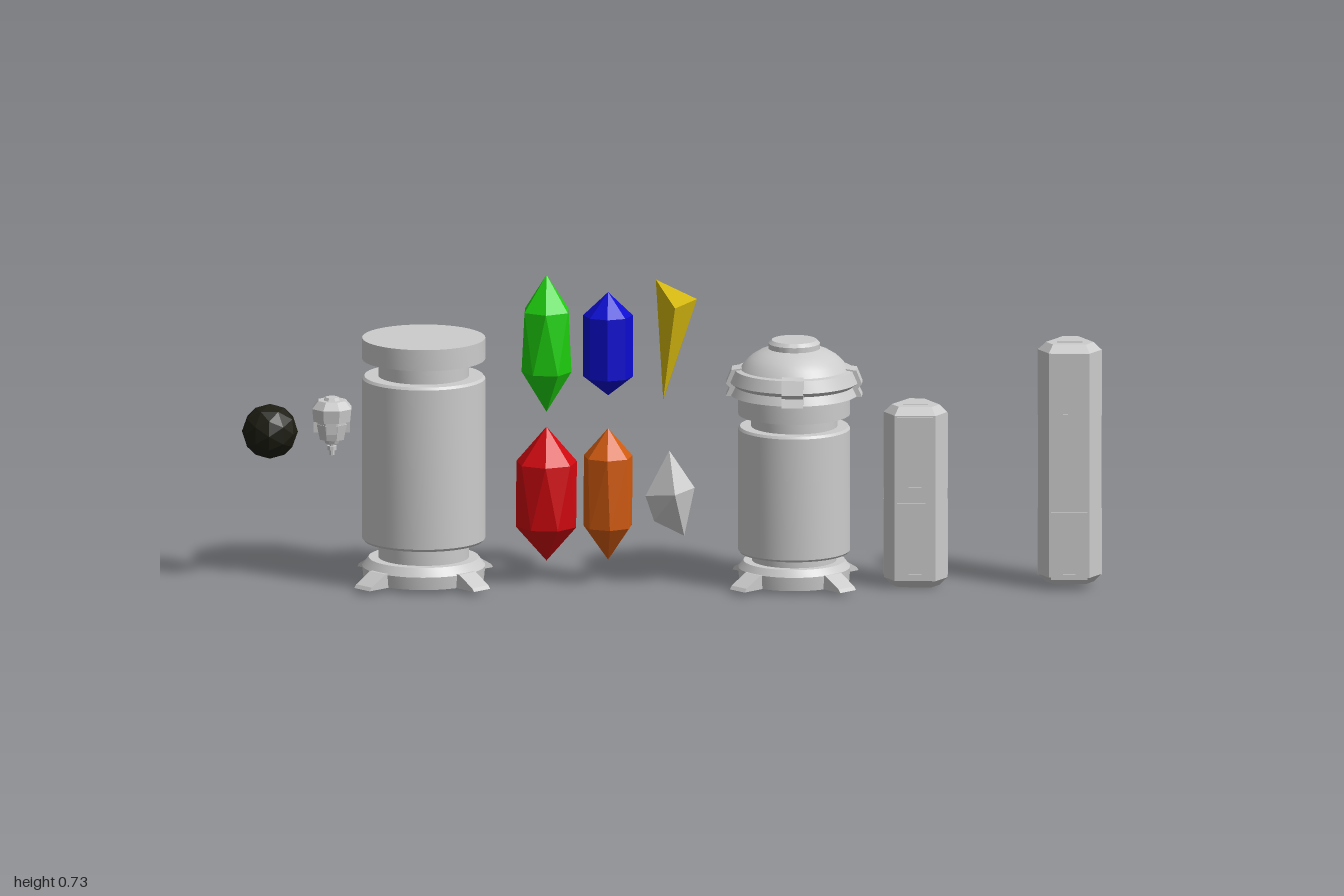
import * as THREE from 'three';
import { toCreasedNormals } from 'three/addons/utils/BufferGeometryUtils.js';
import { ConvexGeometry } from 'three/addons/geometries/ConvexGeometry.js';

const grey = new THREE.MeshStandardMaterial({ color: 0xcccccc });
const flatGrey = new THREE.MeshStandardMaterial({ color: 0xcccccc, flatShading: true });
const colored = (color) => new THREE.MeshStandardMaterial({ color, flatShading: true });

function add(parent, name, geometry, material = grey, x = 0, y = 0, z = 0) {
  const mesh = new THREE.Mesh(geometry, material);
  mesh.name = name;
  mesh.position.set(x, y, z);
  parent.add(mesh);
  return mesh;
}

function group(parent, name, x, y = 0, z = 0) {
  const g = new THREE.Group();
  g.name = name;
  g.position.set(x, y, z);
  parent.add(g);
  return g;
}

const polygon = (pts) => new THREE.Shape(pts.map(([x, y]) => new THREE.Vector2(x, y)));

// Turned body with crisp steps, profile as [radius, y] from bottom to top
function turned(profile) {
  const lathe = new THREE.LatheGeometry(profile.map(([r, y]) => new THREE.Vector2(r, y)), 48);
  return toCreasedNormals(lathe, 0.4);
}

// Radial blocks: a side profile [radius, y] given a width, repeated around the axis
function radialBlocks(parent, name, profile, width, count, start) {
  const geo = new THREE.ExtrudeGeometry(polygon(profile), { depth: width, bevelEnabled: false });
  geo.translate(0, 0, -width / 2);
  for (let i = 0; i < count; i++) {
    add(parent, name, geo).rotation.y = start + (i * Math.PI * 2) / count;
  }
}

const footProfile = (d) => [[0.09, 0.01], [d, 0.01], [d - 0.006, 0.018], [d - 0.05, 0.043], [0.09, 0.043]];

function largeCanister(parent) {
  const g = group(parent, 'largeCanister', -0.575);
  add(g, 'largeCanisterBody', turned([
    [0, 0.01], [0.14, 0.01], [0.143, 0.04], [0.128, 0.06], [0.105, 0.06], [0.105, 0.1], [0.138, 0.1],
    [0.143, 0.106], [0.143, 0.484], [0.138, 0.49], [0.105, 0.49], [0.105, 0.53], [0.143, 0.53],
    [0.143, 0.58], [0, 0.58],
  ]));
  radialBlocks(g, 'largeCanisterFoot', footProfile(0.197), 0.052, 4, Math.PI / 4);
}

function domedCanister(parent) {
  const g = group(parent, 'domedCanister', 0.285);
  add(g, 'domedCanisterBody', turned([
    [0, 0.01], [0.128, 0.01], [0.13, 0.042], [0.118, 0.058], [0.098, 0.058], [0.098, 0.078], [0.126, 0.078],
    [0.13, 0.083], [0.13, 0.37], [0.126, 0.376], [0.1, 0.376], [0.1, 0.405], [0.13, 0.405], [0.13, 0.45],
    [0.148, 0.452], [0.138, 0.472], [0.15, 0.482], [0.138, 0.51], [0.125, 0.512], [0.115, 0.527],
    [0.1, 0.541], [0.08, 0.553], [0.06, 0.56], [0.06, 0.572], [0.052, 0.58], [0, 0.58],
  ]));
  radialBlocks(g, 'domedCanisterFoot', footProfile(0.182), 0.05, 4, Math.PI / 4);
  // clamps over the dome ring
  radialBlocks(g, 'domeClamp', [
    [0.12, 0.45], [0.158, 0.45], [0.149, 0.47], [0.158, 0.48], [0.145, 0.512], [0.12, 0.516],
  ], 0.05, 4, 0);
}

// Bevelled triangular power cell with framed panels on its three faces
function cell(parent, name, x, y0, y1, panels) {
  const g = group(parent, name, x, 0, -0.003);
  const a = 0.058, c = 0.07, bevel = 0.018;
  const u = (c - a / 2) / 0.866;
  const corners = [];
  for (let i = 0; i < 3; i++) {
    for (const s of [-1, 1]) {
      const t = -i * Math.PI * 2 / 3;
      const px = s * u, py = -a;
      corners.push([px * Math.cos(t) - py * Math.sin(t), px * Math.sin(t) + py * Math.cos(t)]);
    }
  }
  const loop = corners.sort((p, q) => Math.atan2(p[1], p[0]) - Math.atan2(q[1], q[0]));
  const body = new THREE.ExtrudeGeometry(polygon(loop), {
    depth: y1 - y0 - 2 * bevel, bevelThickness: bevel, bevelSize: 0.016, bevelOffset: -0.016, bevelSegments: 1,
  });
  body.rotateX(-Math.PI / 2);
  add(g, name + 'Body', body, flatGrey, 0, y0 + bevel, 0);
  // small triangles on both ends
  const tri = new THREE.CylinderGeometry(0.034, 0.034, y1 - y0 + 0.004, 3);
  add(g, name + 'EndTriangle', tri, flatGrey, 0, (y0 + y1) / 2, 0).rotation.y = Math.PI;
  const rect = (w, h) => [[-w, -h], [w, -h], [w, h], [-w, h]];
  for (const [b, t] of panels) {
    const h = (t - b) / 2;
    const frame = polygon(rect(0.042, h));
    frame.holes.push(polygon(rect(0.015, h - 0.012).reverse()));
    const geo = new THREE.ExtrudeGeometry(frame, { depth: 0.005, bevelEnabled: false });
    geo.translate(0, (b + t) / 2, a - 0.001);
    for (let i = 0; i < 3; i++) add(g, name + 'Panel', geo, flatGrey).rotation.y = i * Math.PI * 2 / 3;
  }
}

// Double-pointed crystal: two rings of corners between a top and a bottom tip
function crystal(parent, name, color, x, [bottom, low, high, top], radius, sides, twist) {
  const pts = [new THREE.Vector3(0, bottom, 0), new THREE.Vector3(0, top, 0)];
  for (let i = 0; i < sides; i++) {
    const t = (i * Math.PI * 2) / sides;
    pts.push(new THREE.Vector3(radius * Math.sin(t), high, radius * Math.cos(t)));
    pts.push(new THREE.Vector3(radius * Math.sin(t + twist), low, radius * Math.cos(t + twist)));
  }
  add(parent, name, new ConvexGeometry(pts), colored(color), x);
}

// Irregular shard from a handful of corners
function shard(parent, name, material, pts) {
  add(parent, name, new ConvexGeometry(pts.map((p) => new THREE.Vector3(...p))), material);
}

function darkOrb(parent) {
  const g = group(parent, 'darkOrb', -0.932, 0.355);
  add(g, 'orbShell', new THREE.IcosahedronGeometry(0.065, 1), colored(0x1c1c12));
  const plate = new THREE.CylinderGeometry(0.024, 0.032, 0.012, 6).rotateX(-Math.PI / 2);
  add(g, 'orbPlate', plate, flatGrey, 0, 0, -0.058);
}

function lantern(parent) {
  const g = group(parent, 'lantern', -0.788);
  // chamfered square tiers as [bottom radius, top radius, bottom y, top y]
  const tiers = [
    [0.03, 0.038, 0.338, 0.375], [0.036, 0.036, 0.375, 0.382], [0.046, 0.049, 0.382, 0.412],
    [0.049, 0.034, 0.412, 0.43], [0.02, 0.016, 0.43, 0.437],
    [0.016, 0.02, 0.328, 0.338], [0.006, 0.006, 0.3, 0.33], [0.011, 0.011, 0.312, 0.322],
  ];
  for (const [rb, rt, b, t] of tiers) {
    const geo = new THREE.CylinderGeometry(rt, rb, t - b, 8).rotateY(Math.PI / 8);
    add(g, 'lanternTier', geo, flatGrey, 0, (b + t) / 2, 0);
  }
  // ribs on the four sides
  for (let i = 0; i < 4; i++) {
    const rib = group(g, 'lanternRib', 0);
    rib.rotation.y = (i * Math.PI) / 2;
    add(rib, 'lanternRibBar', new THREE.BoxGeometry(0.022, 0.055, 0.012), flatGrey, 0, 0.383, 0.036);
  }
}

export function createModel() {
  const model = new THREE.Group();
  model.name = 'propSet';
  darkOrb(model);
  lantern(model);
  largeCanister(model);
  crystal(model, 'greenCrystal', 0x1fd10f, -0.29, [0.405, 0.5, 0.645, 0.73], 0.058, 6, 0.5);
  crystal(model, 'blueCrystal', 0x0a0ad0, -0.147, [0.445, 0.49, 0.635, 0.69], 0.058, 8, 0);
  crystal(model, 'redCrystal', 0xd0080f, -0.29, [0.052, 0.135, 0.285, 0.37], 0.072, 7, 0.4);
  crystal(model, 'orangeCrystal', 0xd05a0f, -0.147, [0.055, 0.135, 0.3, 0.367], 0.058, 7, 0.1);
  shard(model, 'yellowShard', colored(0xd0b40f), [
    [-0.037, 0.715, -0.025], [0.058, 0.665, -0.045], [0.01, 0.665, 0.062],
    [-0.018, 0.445, 0.04], [-0.015, 0.44, -0.05],
  ]);
  shard(model, 'greyShard', flatGrey, [
    [-0.005, 0.315, 0], [0.054, 0.228, 0.005], [0.01, 0.222, 0.064], [-0.06, 0.21, 0.015],
    [-0.035, 0.235, -0.045], [0.025, 0.23, -0.055], [0.03, 0.115, 0.01], [-0.04, 0.148, 0.005],
  ]);
  domedCanister(model);
  cell(model, 'shortCell', 0.567, 0.002, 0.43, [[0.025, 0.205], [0.23, 0.408]]);
  cell(model, 'tallCell', 0.925, 0.012, 0.58, [[0.026, 0.185], [0.405, 0.562]]);
  return model;
}
